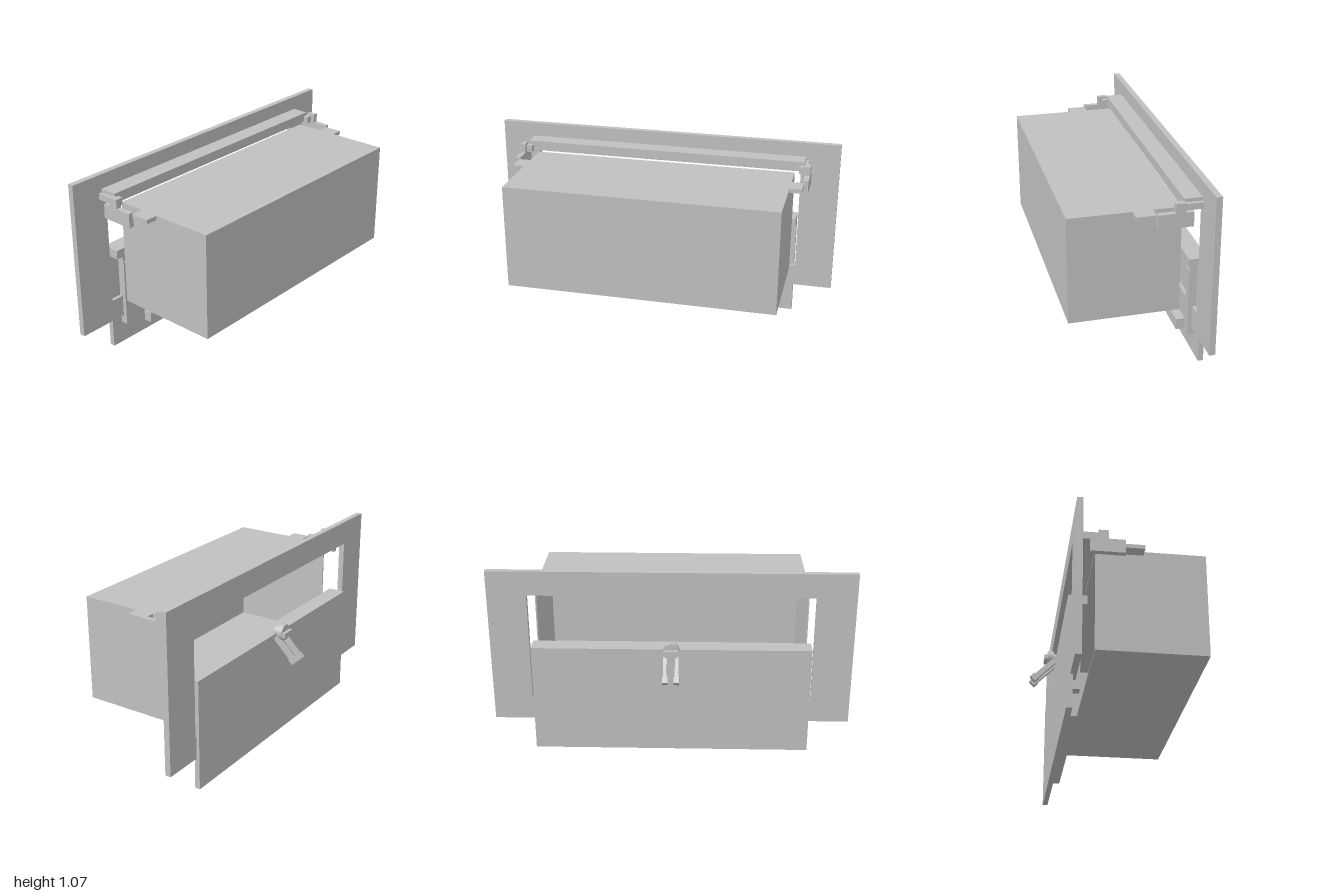
import * as THREE from 'three';

export function createModel() {
  const model = new THREE.Group();
  model.name = 'letterBoxHatch';
  const grey = new THREE.MeshStandardMaterial({ color: 0xc0c0c0 });
  grey.name = 'plainGrey';

  const add = (name, geometry, parent = model) => {
    const mesh = new THREE.Mesh(geometry, grey);
    mesh.name = name;
    parent.add(mesh);
    return mesh;
  };
  // Box given by its extents on each axis
  const block = (name, x0, x1, y0, y1, z0, z1, parent) => {
    const g = new THREE.BoxGeometry(x1 - x0, y1 - y0, z1 - z0);
    g.translate((x0 + x1) / 2, (y0 + y1) / 2, (z0 + z1) / 2);
    return add(name, g, parent);
  };
  // Same block on the left and the right
  const pair = (name, x0, x1, ...rest) => {
    block(name + 'Left', x0, x1, ...rest);
    block(name + 'Right', -x1, -x0, ...rest);
  };
  const rect = (Type, x, y0, y1) => {
    const s = new Type();
    s.moveTo(-x, y0);
    s.lineTo(x, y0);
    s.lineTo(x, y1);
    s.lineTo(-x, y1);
    s.closePath();
    return s;
  };
  const extrude = (shape, z0, z1) =>
    new THREE.ExtrudeGeometry(shape, { depth: z1 - z0, bevelEnabled: false }).translate(0, 0, z0);

  // Bin: a thin-walled box open towards the back
  const t = 0.008;
  const walls = rect(THREE.Shape, 0.757, 0.33, 0.923);
  walls.holes.push(rect(THREE.Path, 0.757 - t, 0.33 + t, 0.923 - t));
  add('binWalls', extrude(walls, -0.155, 0.438 - t));
  block('binFront', -0.757, 0.757, 0.33, 0.923, 0.438 - t, 0.438);
  pair('binEar', 0.757, 0.825, 0.9, 0.923, -0.005, 0.1);

  // Mounting plate with a rectangular opening
  const plate = rect(THREE.Shape, 1, 0.18, 1.07);
  plate.holes.push(rect(THREE.Path, 0.783, 0.305, 0.932));
  add('framePlate', extrude(plate, -0.278, -0.245));

  // Rail above the opening, with hooks at both ends
  block('topRail', -0.81, 0.81, 0.935, 0.99, -0.245, -0.148);
  pair('railBracket', 0.81, 0.83, 0.935, 0.97, -0.245, -0.148);
  pair('hookPin', 0.785, 0.82, 0.93, 0.97, -0.15, -0.118);
  pair('hookPlate', 0.818, 0.848, 0.853, 0.932, -0.19, -0.005);
  pair('hookTop', 0.818, 0.848, 0.932, 0.983, -0.148, -0.095);

  // Sliding door with its ledge, uprights and lower grip bar
  block('door', -0.775, 0.775, 0, 0.627, -0.295, -0.265);
  block('doorLedge', -0.775, 0.775, 0.577, 0.627, -0.265, -0.196);
  pair('doorUpright', 0.655, 0.708, 0.13, 0.525, -0.265, -0.222);
  pair('uprightTop', 0.655, 0.708, 0.525, 0.577, -0.265, -0.228);
  block('gripBar', -0.53, 0.53, 0.06, 0.123, -0.265, -0.215);

  // Turn latch: neck, disc, raised bar and two sloping prongs
  const latch = new THREE.Group();
  latch.name = 'latch';
  latch.position.set(0, 0.633, 0);
  model.add(latch);
  const disc = (name, r, z0, z1) =>
    add(name, new THREE.CylinderGeometry(r, r, z1 - z0, 32)
      .rotateX(Math.PI / 2).translate(0, 0, (z0 + z1) / 2), latch);
  disc('latchNeck', 0.03, -0.308, -0.278);
  disc('latchDisc', 0.046, -0.34, -0.308);
  block('latchBar', -0.04, 0.04, -0.018, 0.01, -0.36, -0.34, latch);
  for (const side of [-1, 1]) {
    const prong = new THREE.Group();
    prong.name = side > 0 ? 'prongLeft' : 'prongRight';
    prong.position.set(side * 0.032, -0.02, -0.295);
    prong.rotation.x = -Math.PI / 4;
    latch.add(prong);
    // local -z runs backwards and down
    block('prongArm', -0.01, 0.01, -0.015, 0.015, -0.15, 0, prong);
    block('prongTip', -0.015, 0.015, -0.019, 0.019, -0.185, -0.15, prong);
  }
  return model;
}
